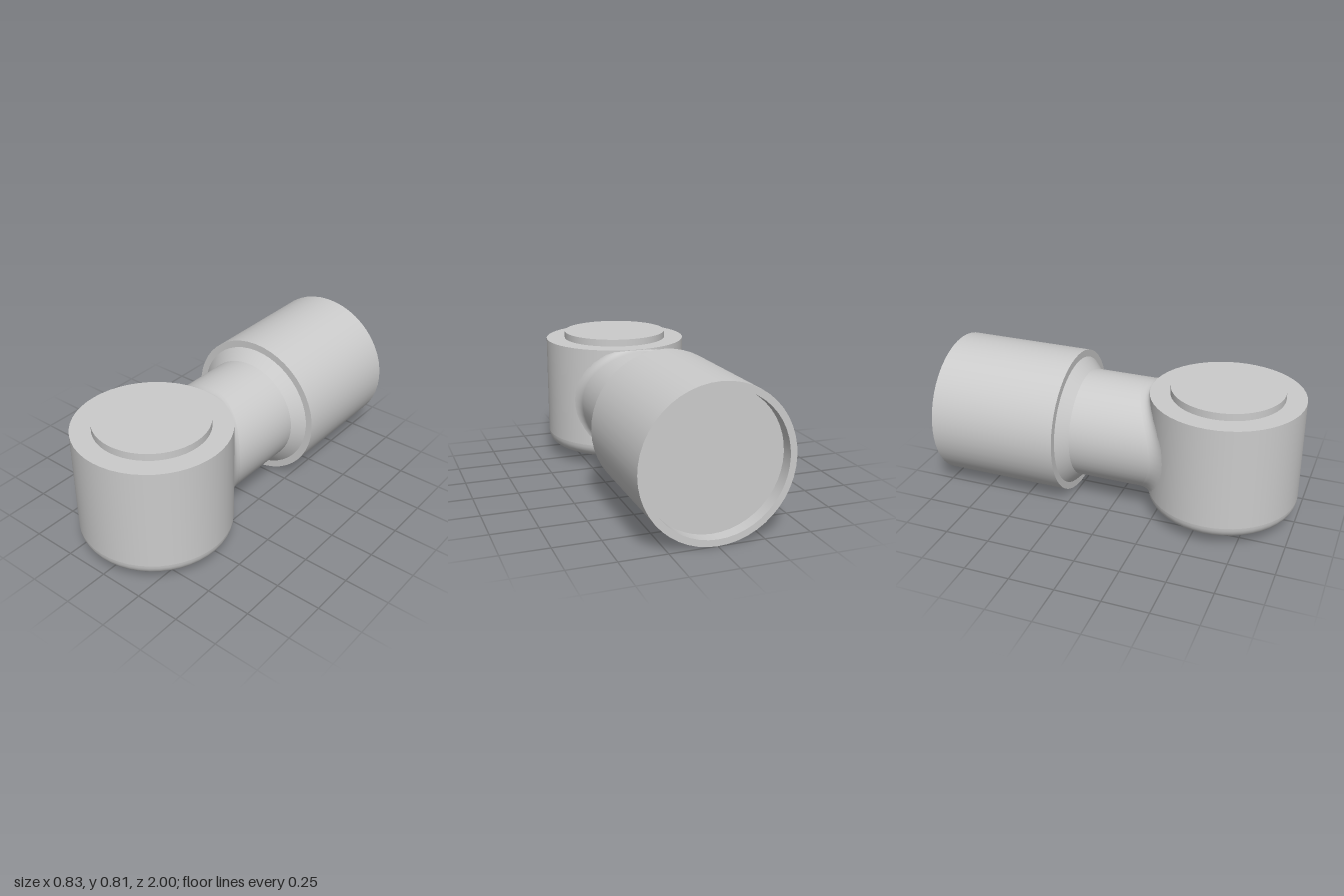
import * as THREE from 'three';
import { mergeGeometries } from 'three/addons/utils/BufferGeometryUtils.js';

const SEG = 48;
const AXIS_Y = 0.405;                      // height of the horizontal pipe axis
const HUB = { z: 0.585, r: 0.415, bottom: 0.06, top: 0.715, round: 0.08 };
const NECK_R = 0.305;
const material = new THREE.MeshStandardMaterial({ color: 0xcccccc });

// Revolve several [radius, height] runs; each run is smooth, joints between runs stay sharp
function revolve(runs) {
  return mergeGeometries(runs.map(run =>
    new THREE.LatheGeometry(run.map(([r, y]) => new THREE.Vector2(r, y)), SEG)));
}

// Straight-sided profile: every segment becomes its own sharp run
const sharp = pts => pts.slice(1).map((p, i) => [pts[i], p]);

function addMesh(group, name, geometry) {
  const mesh = new THREE.Mesh(geometry, material);
  mesh.name = name;
  group.add(mesh);
  return mesh;
}

// Hub radius at a given height, including the rounded lower edge
function hubRadius(y) {
  const h = Math.max(0, HUB.bottom + HUB.round - y);
  return HUB.r - HUB.round + Math.sqrt(Math.max(0, HUB.round ** 2 - h * h));
}

// Blend between neck and hub: a curved strip following their intersection
function blendGeometry(size, steps) {
  const pos = [], index = [];
  const onHub = (radius, a) => {
    const x = radius * Math.cos(a);
    const y = THREE.MathUtils.clamp(AXIS_Y + radius * Math.sin(a), HUB.bottom + 0.005, HUB.top - 0.002);
    const R = hubRadius(y);
    return new THREE.Vector3(x, y, HUB.z - Math.sqrt(Math.max(0, R * R - x * x)) + 0.002);
  };
  for (let i = 0; i < SEG; i++) {
    const a = (i / SEG) * Math.PI * 2;
    const corner = onHub(NECK_R, a);
    const start = corner.clone().setZ(corner.z - size * 1.3);
    const curve = new THREE.QuadraticBezierCurve3(start, corner, onHub(NECK_R + size, a));
    for (let j = 0; j <= steps; j++) {
      pos.push(...curve.getPoint(j / steps).toArray());
      if (j === steps) continue;
      const p = i * (steps + 1) + j, q = ((i + 1) % SEG) * (steps + 1) + j;
      index.push(p, q, p + 1, q, q + 1, p + 1);
    }
  }
  const g = new THREE.BufferGeometry();
  g.setAttribute('position', new THREE.Float32BufferAttribute(pos, 3));
  g.setIndex(index);
  g.computeVertexNormals();
  return g;
}

export function createModel() {
  const model = new THREE.Group();
  model.name = 'elbowFitting';

  // Upright hub with a rounded lower edge
  const edge = [];
  for (let i = 0; i <= 8; i++) {
    const a = (i / 8) * Math.PI / 2;
    edge.push([HUB.r - HUB.round * (1 - Math.sin(a)), HUB.bottom + HUB.round * (1 - Math.cos(a))]);
  }
  const hub = addMesh(model, 'hub', revolve([
    [[0, HUB.bottom], edge[0]],
    edge,
    [[HUB.r, HUB.bottom + HUB.round], [HUB.r, HUB.top]],
    [[HUB.r, HUB.top], [0, HUB.top]],
  ]));
  hub.position.z = HUB.z;

  // Raised disc on top of the hub
  const cap = addMesh(model, 'topDisc', revolve(sharp([[0.305, 0.71], [0.305, 0.755], [0, 0.755]])));
  cap.position.z = HUB.z;

  // Horizontal pipe parts are revolved upright, then laid towards the back
  const pipe = new THREE.Group();
  pipe.name = 'pipe';
  pipe.position.y = AXIS_Y;
  pipe.rotation.x = -Math.PI / 2;
  model.add(pipe);
  addMesh(pipe, 'neck', revolve(sharp([[NECK_R, -0.4], [NECK_R, 0.21]])));
  addMesh(pipe, 'collar', revolve(sharp([[NECK_R, 0.21], [0.365, 0.27]])));
  addMesh(pipe, 'socket', revolve(sharp([
    [0.365, 0.27], [0.405, 0.27], [0.405, 1], [0.37, 1], [0.37, 0.93], [0, 0.93],
  ])));

  // Soft transition where the neck meets the hub
  addMesh(model, 'neckBlend', blendGeometry(0.04, 6));
  return model;
}
